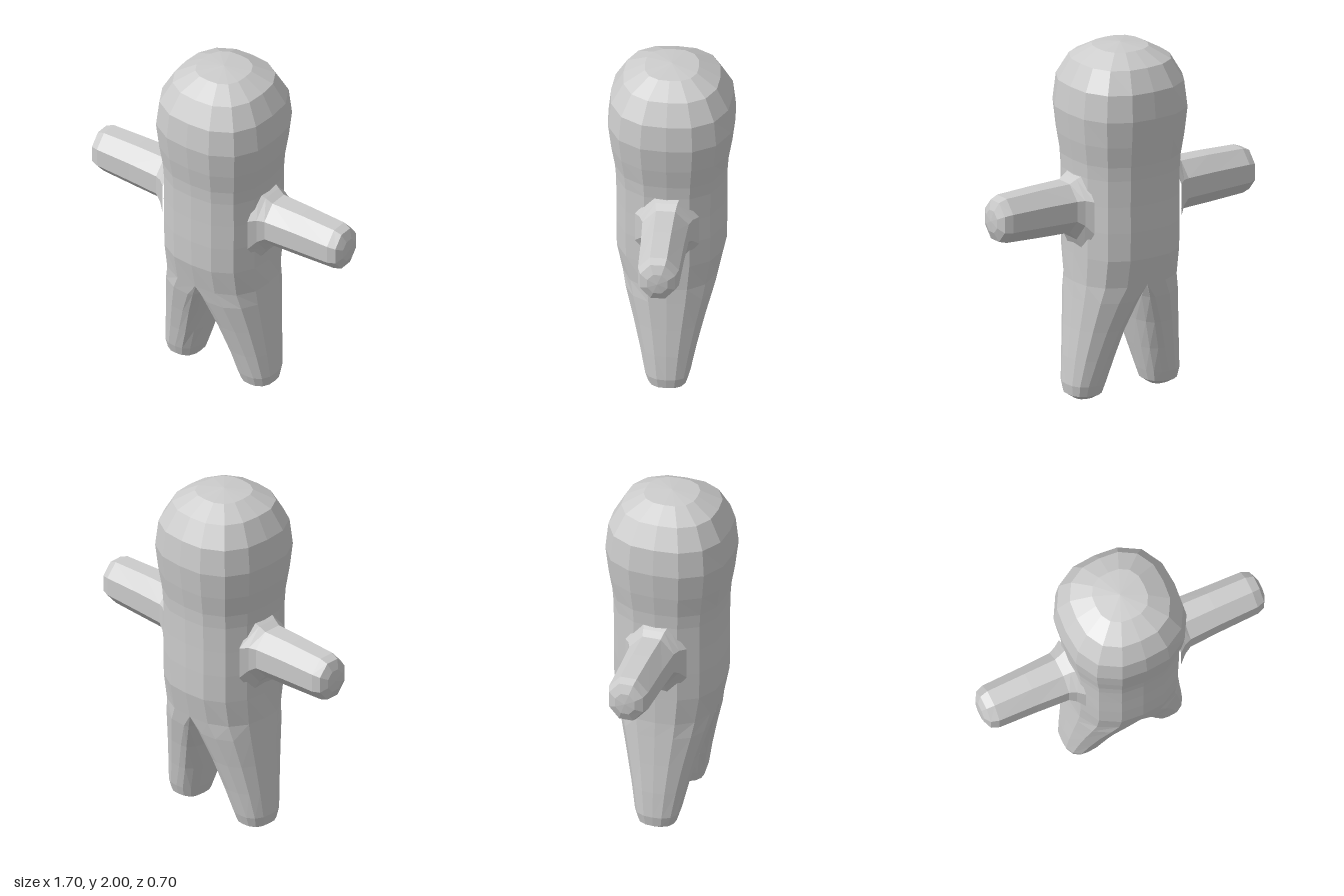
import * as THREE from 'three';

const material = new THREE.MeshStandardMaterial({ color: 0xcccccc, flatShading: true });

// Slightly squared 16-sided section: cosine-like quarter, mirrored around the circle
const QUARTER = [1, 0.965, 0.765, 0.41, 0];
function unit(k) {
  k = ((k % 16) + 16) % 16;
  if (k > 8) k = 16 - k;
  return k <= 4 ? QUARTER[k] : -QUARTER[8 - k];
}
const section = Array.from({ length: 16 }, (_, k) => [unit(k), unit(k - 4)]);

// Eight-sided section with flat top and sides
const octagon = Array.from({ length: 8 }, (_, k) => {
  const a = (k + 0.5) * Math.PI / 4, r = 1 / Math.cos(Math.PI / 8);
  return [Math.cos(a) * r, Math.sin(a) * r];
});

// Skin a list of equal-length point rings; flip reverses the face direction
function loft(name, rings, flip = false) {
  const n = rings[0].length, index = [];
  for (let i = 0; i < rings.length - 1; i++) {
    for (let k = 0; k < n; k++) {
      const a = i * n + k, b = i * n + (k + 1) % n, c = b + n, d = a + n;
      index.push(...(flip ? [a, c, d, a, b, c] : [a, d, c, a, c, b]));
    }
  }
  const geometry = new THREE.BufferGeometry();
  geometry.setAttribute('position', new THREE.Float32BufferAttribute(rings.flat(2), 3));
  geometry.setIndex(index);
  geometry.computeVertexNormals();
  const mesh = new THREE.Mesh(geometry, material);
  mesh.name = name;
  return mesh;
}

// Torso and head: y, half width, half depth
function makeBody() {
  const profile = [
    [0.68, 0.305, 0.267], [0.84, 0.305, 0.3], [1.0, 0.307, 0.303], [1.15, 0.307, 0.302],
    [1.3, 0.307, 0.304], [1.38, 0.312, 0.31], [1.5, 0.33, 0.33], [1.65, 0.345, 0.348],
    [1.8, 0.327, 0.332], [1.92, 0.26, 0.265], [1.985, 0.145, 0.148], [2, 0, 0],
  ];
  return loft('torsoAndHead', profile.map(([y, rx, rz]) =>
    section.map(([u, v]) => [u * rx, y, v * rz])));
}

// Leg: y, inner x, x of the front and back ridge, outer x, half depth.
// The top ring is half of the torso section, rounding off on the way down.
function makeLeg(side, name) {
  const profile = [
    [0, 0.245, 0.245, 0.245, 0], [0.012, 0.19, 0.245, 0.3, 0.058],
    [0.04, 0.152, 0.245, 0.342, 0.105], [0.1, 0.133, 0.24, 0.352, 0.124],
    [0.25, 0.092, 0.19, 0.341, 0.156], [0.42, 0.047, 0.135, 0.325, 0.198],
    [0.59, 0, 0.065, 0.311, 0.246], [0.68, 0, 0, 0.305, 0.267],
  ];
  return loft(name, profile.map(([y, inner, ridge, outer, rz]) =>
    section.map(([u, v]) => [
      side * (ridge + u * (u > 0 ? outer - ridge : ridge - inner)), y, v * rz,
    ])), side < 0);
}

// Arm: x, top y, bottom y, half depth; flared where it meets the torso
function makeArm(side, name) {
  const profile = [
    [0.285, 1.305, 0.865, 0.175], [0.325, 1.285, 0.94, 0.145], [0.365, 1.262, 0.985, 0.127],
    [0.55, 1.26, 0.99, 0.118], [0.775, 1.252, 1.0, 0.112], [0.82, 1.235, 1.012, 0.096],
    [0.842, 1.185, 1.062, 0.055], [0.848, 1.125, 1.125, 0],
  ];
  return loft(name, profile.map(([x, top, bottom, rz]) =>
    octagon.map(([u, v]) => [
      side * x, (top + bottom) / 2 + u * (top - bottom) / 2, v * rz,
    ])), side > 0);
}

export function createModel() {
  const model = new THREE.Group();
  model.name = 'figure';
  model.add(makeBody());
  for (const [side, label] of [[1, 'left'], [-1, 'right']]) {
    model.add(makeLeg(side, label + 'Leg'), makeArm(side, label + 'Arm'));
  }
  return model;
}
